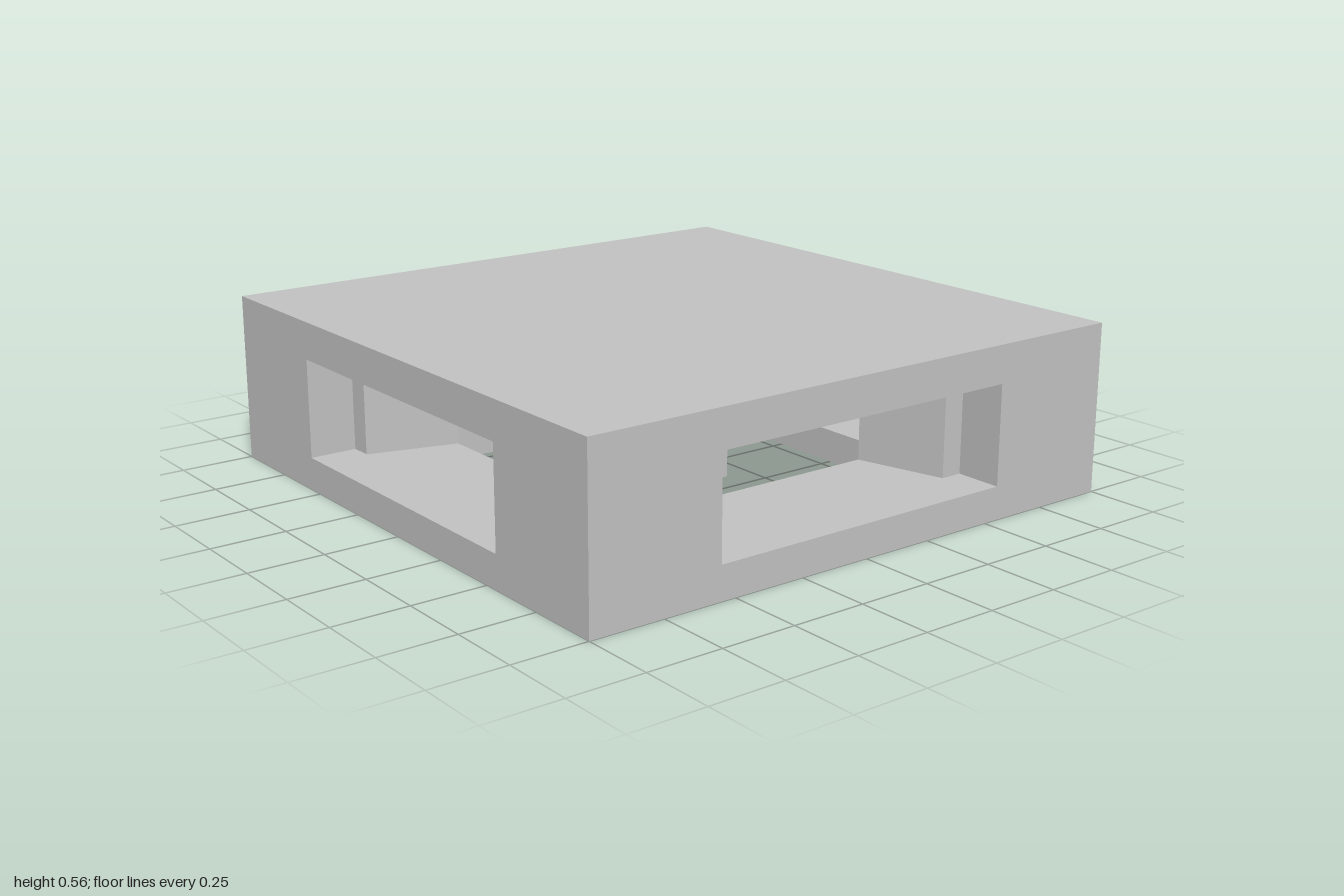
import * as THREE from 'three';

const HEIGHT = 0.565;   // overall height
const FLOOR = 0.11;     // top of the base ring
const CEILING = 0.44;   // underside of the top deck
const OPEN = 0.54;      // half width of the bottom opening
const CUT = 0.05;       // bevel at the opening's corners

const toShape = (points) => new THREE.Shape(points.map(([x, y]) => new THREE.Vector2(x, y)));

// Extrudes a plan outline upwards from y0 to y1
function slab(shape, y0, y1) {
  const geometry = new THREE.ExtrudeGeometry(shape, { depth: y1 - y0, bevelEnabled: false });
  geometry.rotateX(-Math.PI / 2);
  geometry.translate(0, y0, 0);
  return geometry;
}

export function createModel() {
  const model = new THREE.Group();
  model.name = 'pallet';
  const grey = new THREE.MeshStandardMaterial({ color: 0xc0c0c0 });
  grey.name = 'plain grey';

  const add = (name, geometry) => {
    const mesh = new THREE.Mesh(geometry, grey);
    mesh.name = name;
    model.add(mesh);
    return mesh;
  };

  // Solid top deck
  const deck = add('topDeck', new THREE.BoxGeometry(2, HEIGHT - CEILING, 2));
  deck.position.y = (HEIGHT + CEILING) / 2;

  // Base ring around a square opening with bevelled corners
  const ring = toShape([[-1, -1], [1, -1], [1, 1], [-1, 1]]);
  const a = OPEN, b = OPEN - CUT;
  ring.holes.push(toShape([[a, -b], [b, -a], [-b, -a], [-a, -b], [-a, b], [-b, a], [b, a], [a, b]]));
  add('baseRing', slab(ring, 0, FLOOR));

  // Corner blocks: stepped at the side windows, tapering in towards the opening
  const block = toShape([
    [1, 1], [0.55, 1], [0.55, 0.84], [0.475, 0.84], [0.395, a], [b, a],
    [a, b], [a, 0.395], [0.84, 0.475], [0.84, 0.55], [1, 0.55],
  ]);
  const blockGeometry = slab(block, FLOOR, CEILING);
  for (let i = 0; i < 4; i++) {
    add('cornerBlock' + (i + 1), blockGeometry).rotation.y = i * Math.PI / 2;
  }

  // Square foot in the middle
  const foot = add('centreFoot', new THREE.BoxGeometry(0.32, CEILING, 0.32));
  foot.position.y = CEILING / 2;

  return model;
}
